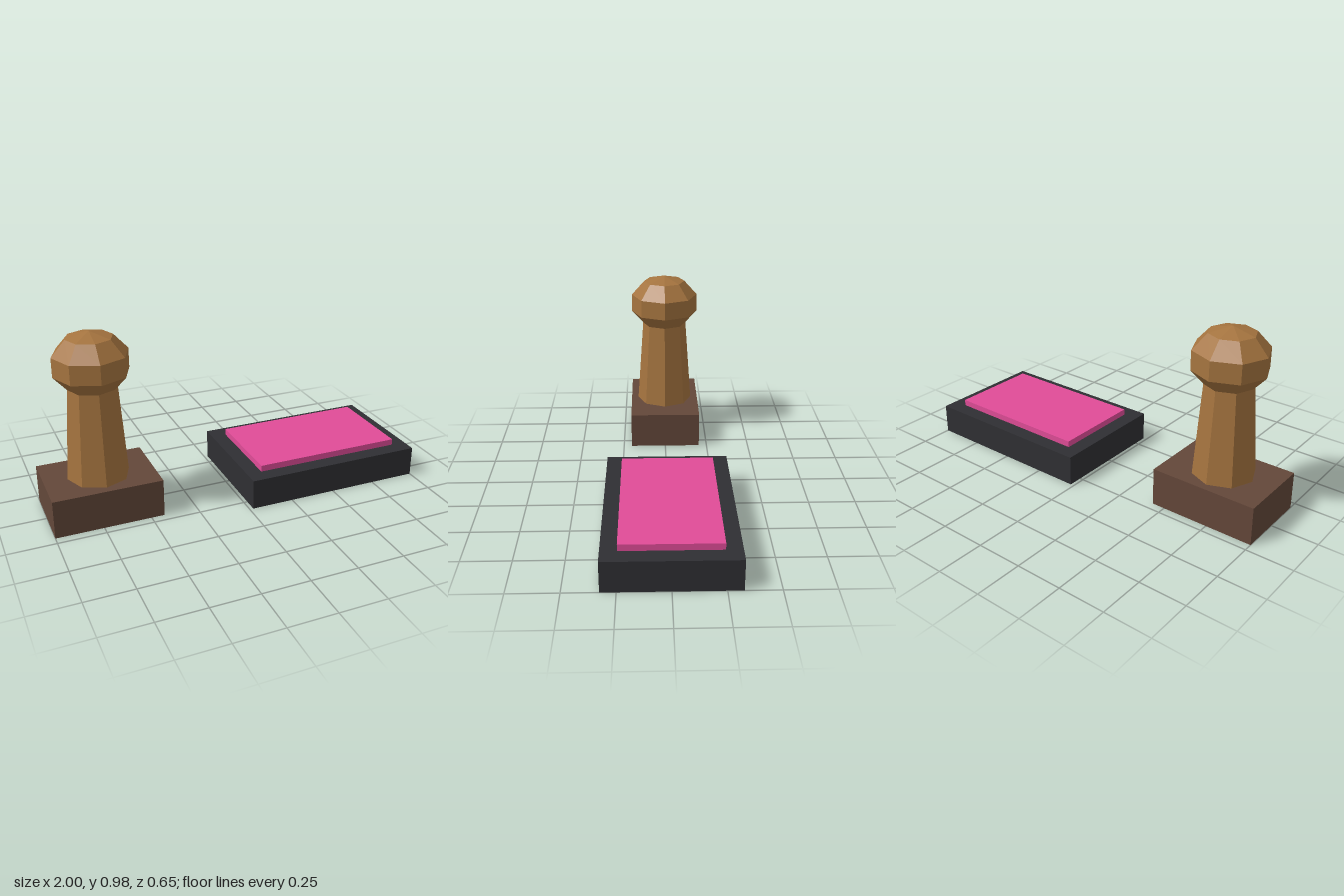
import * as THREE from 'three';

export function createModel() {
  const group = new THREE.Group();
  const mat = (color) => new THREE.MeshStandardMaterial({ color, flatShading: true });
  const wood = mat(0xa5743f);
  const darkWood = mat(0x634739);
  const casing = mat(0x2f2f33);
  const ink = mat(0xe04c98);

  const add = (parent, name, geometry, material, x, y, z = 0) => {
    const mesh = new THREE.Mesh(geometry, material);
    mesh.name = name;
    mesh.position.set(x, y, z);
    parent.add(mesh);
    return mesh;
  };

  // Hand stamp: block, tapered eight-sided handle and faceted knob
  const stamp = new THREE.Group();
  stamp.name = 'handStamp';
  stamp.position.x = -0.715;
  group.add(stamp);
  add(stamp, 'stampBlock', new THREE.BoxGeometry(0.57, 0.204, 0.406), darkWood, 0, 0.102);
  add(stamp, 'handle', new THREE.CylinderGeometry(0.125, 0.163, 0.53, 8), wood, 0, 0.464);
  const knob = new THREE.SphereGeometry(0.203, 8, 5).scale(1, 0.81, 1);
  add(stamp, 'knob', knob, wood, 0, 0.817);

  // Ink pad: dark tray with a raised coloured pad
  const inkPad = new THREE.Group();
  inkPad.name = 'inkPad';
  inkPad.position.x = 0.51;
  group.add(inkPad);
  add(inkPad, 'tray', new THREE.BoxGeometry(0.98, 0.163, 0.652), casing, 0, 0.0815);
  add(inkPad, 'pad', new THREE.BoxGeometry(0.816, 0.068, 0.49), ink, 0, 0.163);

  return group;
}
